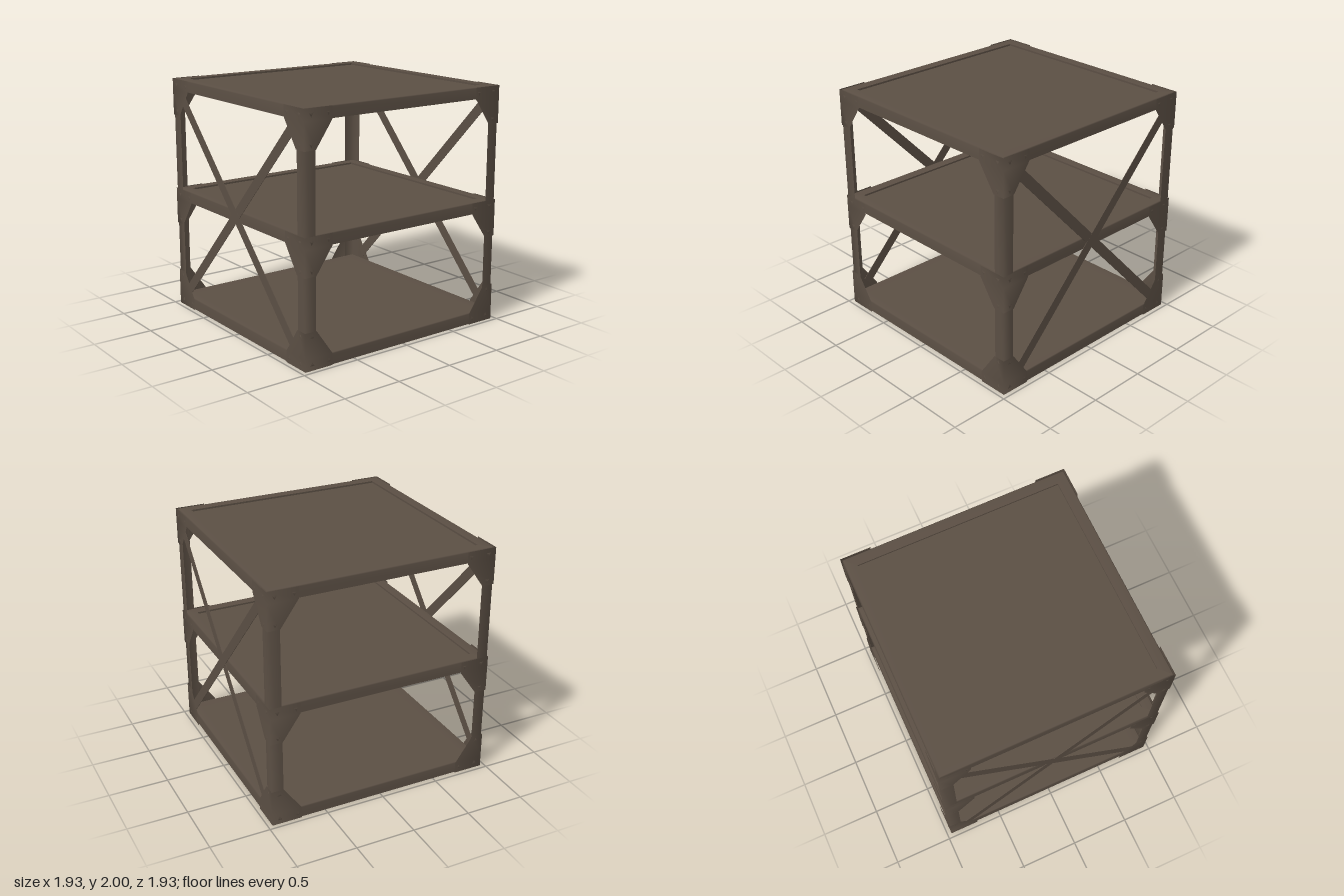
import * as THREE from 'three';

const SHELF = 0.952, POST = 0.956, GUSSET = 0.963; // half widths, from inside out
const RIM = 0.095, LIP = 0.86, SINK = 0.015, EDGE = 0.008;

// Smooth strip of quads; rows run top to bottom, points run left to right
function strip(rows) {
  const n = rows[0].length, index = [];
  for (let r = 0; r < rows.length - 1; r++) {
    for (let i = 0; i < n - 1; i++) {
      const a = r * n + i, b = a + 1, c = a + n, d = c + 1;
      index.push(a, c, d, a, d, b);
    }
  }
  const geo = new THREE.BufferGeometry();
  geo.setAttribute('position', new THREE.Float32BufferAttribute(rows.flat(2), 3));
  geo.setIndex(index);
  geo.computeVertexNormals();
  return geo;
}

// Sheet bent around the +x +z corner; profile lists [y, inner end of each leg]
const corner = (half, profile) =>
  strip(profile.map(([y, end]) => [[end, y, half], [half, y, half], [half, y, end]]));

export function createModel() {
  const steel = new THREE.MeshStandardMaterial({ color: 0x5b4f44, side: THREE.DoubleSide });
  steel.name = 'brownSteel';
  const model = new THREE.Group();
  model.name = 'shelvingUnit';

  const add = (parent, geo, name) => {
    const mesh = new THREE.Mesh(geo, steel);
    mesh.name = name;
    parent.add(mesh);
    return mesh;
  };

  // Shelf: rim with mitred lip and softened edge around a panel
  const row = (half, y) => [[-half, y, half], [half, y, half]];
  const rimGeo = strip([
    row(LIP, RIM), row(SHELF - EDGE, RIM), row(SHELF, RIM - EDGE), row(SHELF, 0),
  ]);
  const stepGeo = strip([row(LIP, RIM - SINK), row(LIP, RIM)]);
  const panelGeo = new THREE.PlaneGeometry(2 * LIP, 2 * LIP).rotateX(-Math.PI / 2);
  const baseGeo = new THREE.PlaneGeometry(2 * SHELF, 2 * SHELF).rotateX(Math.PI / 2);
  function makeShelf(name, y, sunken) {
    const shelf = new THREE.Group();
    shelf.name = name;
    shelf.position.y = y;
    for (let i = 0; i < 4; i++) {
      add(shelf, rimGeo, 'shelfRim').rotation.y = i * Math.PI / 2;
      if (sunken) add(shelf, stepGeo, 'shelfStep').rotation.y = i * Math.PI / 2;
    }
    add(shelf, panelGeo, 'shelfPanel').position.y = sunken ? RIM - SINK : RIM;
    if (sunken) add(shelf, baseGeo, 'shelfUnderside');
    model.add(shelf);
  }
  makeShelf('bottomShelf', 0, false); // flush panel, open underneath
  makeShelf('middleShelf', 1.05 - RIM, true);
  makeShelf('topShelf', 2 - RIM, true);

  // Corner bracket with small pointed bolts on both faces
  const gussetGeo = corner(GUSSET, [[0, 0.71], [-RIM, 0.71], [-0.31, LIP]]);
  const boltGeo = new THREE.ConeGeometry(0.024, 0.005, 3, 1).rotateX(Math.PI / 2);
  const bolts = [[0.9, -0.047], [0.745, -0.047], [0.9, -0.27]];
  function makeGusset() {
    const gusset = new THREE.Group();
    gusset.name = 'cornerBracket';
    add(gusset, gussetGeo, 'bracketPlate');
    for (const [u, y] of bolts) {
      add(gusset, boltGeo, 'bolt').position.set(u, y, GUSSET + 0.002);
      const side = add(gusset, boltGeo, 'bolt');
      side.rotation.y = Math.PI / 2;
      side.position.set(GUSSET + 0.002, y, u);
    }
    return gusset;
  }

  // Four angle posts, each with three brackets; the lowest is turned over
  const postGeo = corner(POST, [[1.998, LIP], [0.002, LIP]]);
  const diagonal = new THREE.Vector3(1, 0, 1).normalize();
  for (let i = 0; i < 4; i++) {
    const leg = new THREE.Group();
    leg.name = 'cornerPost';
    leg.rotation.y = i * Math.PI / 2;
    add(leg, postGeo, 'anglePost');
    for (const y of [2, 1.05, 0]) {
      const gusset = makeGusset();
      gusset.position.y = y;
      if (y === 0) gusset.quaternion.setFromAxisAngle(diagonal, Math.PI);
      leg.add(gusset);
    }
    model.add(leg);
  }

  // Crossed flat braces on the left and right sides
  const braceGeo = new THREE.BoxGeometry(0.004, 0.085, 2.36);
  for (const side of [-1, 1]) {
    for (const tilt of [-1, 1]) {
      const brace = add(model, braceGeo, side > 0 ? 'leftBrace' : 'rightBrace');
      brace.position.set(side * (0.9585 + tilt * 0.0005), 1, 0);
      brace.rotation.x = tilt * Math.atan2(1.62, 1.55);
    }
  }
  return model;
}
